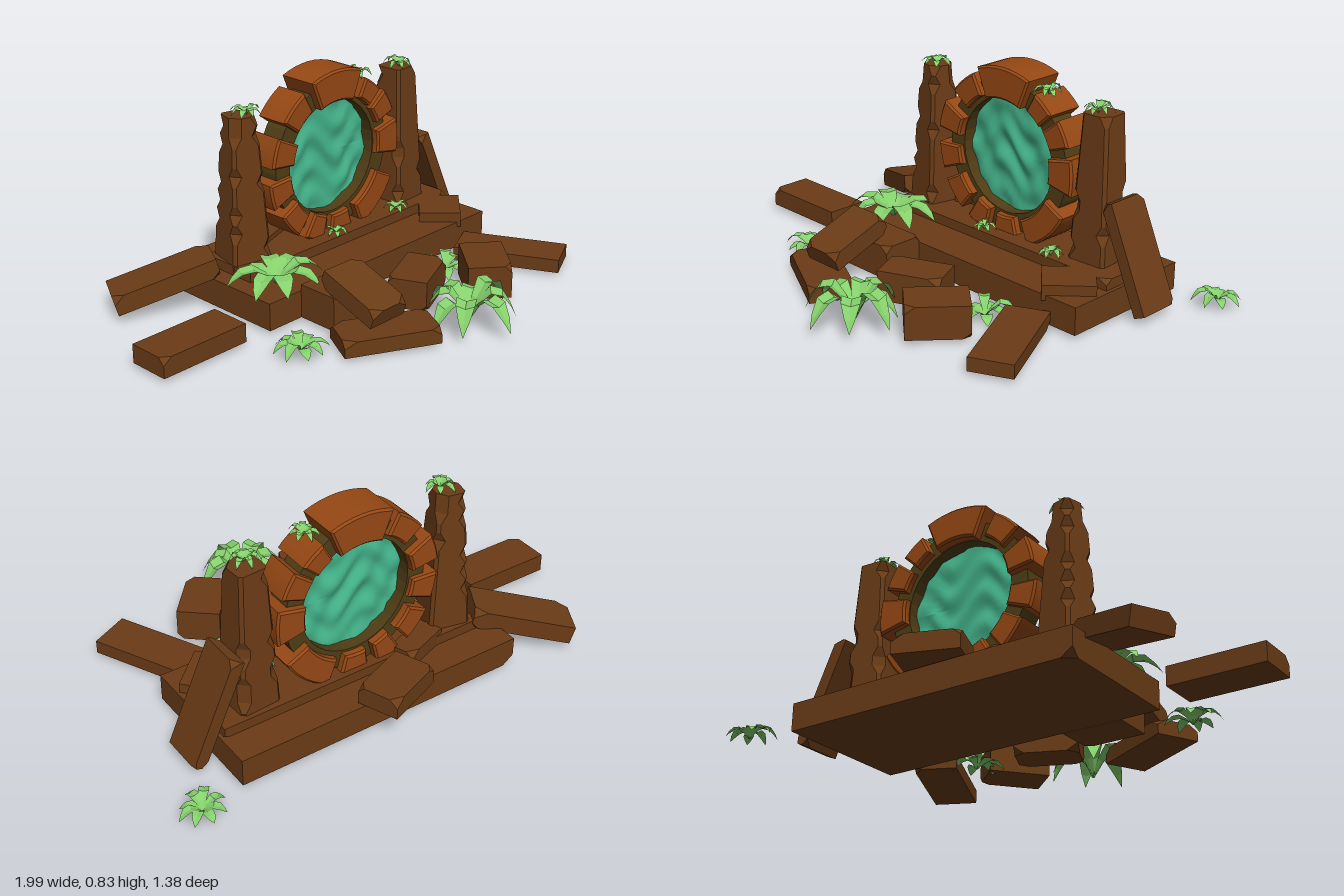
import * as THREE from 'three';
import { ConvexGeometry } from 'three/addons/geometries/ConvexGeometry.js';

const flat = (color, extra = {}) => new THREE.MeshStandardMaterial({ color, flatShading: true, ...extra });
const brown = flat(0x6b3c17);
const orange = flat(0x964814);
const olive = flat(0x4f3d15);
const leafGreen = flat(0x85d06c, { side: THREE.DoubleSide });
const water = new THREE.MeshStandardMaterial({ color: 0x45b78d, side: THREE.DoubleSide });

let seed = 7;
const rand = () => (seed = (seed * 16807) % 2147483647) / 2147483647;

function add(parent, name, geometry, material, x = 0, y = 0, z = 0) {
  const mesh = new THREE.Mesh(geometry, material);
  mesh.name = name;
  mesh.position.set(x, y, z);
  parent.add(mesh);
  return mesh;
}

// Box with a few corners chipped off
function chippedBox(w, h, d, chips = 0.35, size = 0.035) {
  const points = [];
  for (const sx of [-1, 1]) for (const sy of [-1, 1]) for (const sz of [-1, 1]) {
    const corner = new THREE.Vector3(sx * w / 2, sy * h / 2, sz * d / 2);
    if (rand() > chips) { points.push(corner); continue; }
    const cut = size * (0.5 + rand() * 0.5);
    points.push(corner.clone().setX(corner.x - sx * cut * 1.4));
    points.push(corner.clone().setY(corner.y - sy * Math.min(cut, h * 0.4)));
    points.push(corner.clone().setZ(corner.z - sz * cut));
  }
  return new ConvexGeometry(points);
}

// Tapered square pillar whose chamfered edges are nicked at random heights
function pillarGeometry(height, bottom, top) {
  const rows = 16;
  const geo = new THREE.CylinderGeometry(1, 1, height, 8, rows, false, Math.PI / 8);
  const nicks = Array.from({ length: (rows + 1) * 4 }, () => (rand() < 0.25 ? 0.035 : 0.012));
  const p = geo.attributes.position;
  for (let i = 0; i < p.count; i++) {
    const x = p.getX(i), z = p.getZ(i);
    if (Math.hypot(x, z) < 0.5) continue;
    const t = p.getY(i) / height + 0.5;
    const w = THREE.MathUtils.lerp(bottom, top, t);
    const corner = (x > 0 ? 1 : 0) + (z > 0 ? 2 : 0);
    const inner = w - nicks[Math.round(t * rows) * 4 + corner];
    const xSmall = Math.abs(x) < Math.abs(z);
    p.setX(i, Math.sign(x) * (xSmall ? inner : w));
    p.setZ(i, Math.sign(z) * (xSmall ? w : inner));
  }
  return geo;
}

// Curved wedge of the ring, extruded along z and centred on it
function arcStone(degrees, halfWidth, rIn, rOut, depth) {
  const a = THREE.MathUtils.degToRad(degrees - halfWidth);
  const b = THREE.MathUtils.degToRad(degrees + halfWidth);
  const shape = new THREE.Shape();
  shape.absarc(0, 0, rOut, a, b, false);
  shape.absarc(0, 0, rIn, b, a, true);
  const bevel = 0.008;
  const geo = new THREE.ExtrudeGeometry(shape, {
    depth: depth - 2 * bevel, curveSegments: 4, bevelSegments: 1,
    bevelSize: bevel, bevelOffset: -bevel, bevelThickness: bevel,
  });
  return geo.translate(0, 0, bevel - depth / 2);
}

// Arching leaf along +x with a folded midrib, unit length
function leafGeometry() {
  const spine = [[0, 0, 0.03], [0.2, 0.28, 0.1], [0.45, 0.46, 0.17], [0.7, 0.42, 0.16], [0.88, 0.25, 0.09], [1, 0.08, 0.004]];
  const pos = [], index = [];
  spine.forEach(([x, y, w], i) => {
    pos.push(x, y + w * 0.3, -w, x, y, 0, x, y + w * 0.3, w);
    if (i === 0) return;
    for (const k of [0, 1]) {
      const a = (i - 1) * 3 + k, b = a + 3;
      index.push(a, a + 1, b, b, a + 1, b + 1);
    }
  });
  const geo = new THREE.BufferGeometry();
  geo.setAttribute('position', new THREE.Float32BufferAttribute(pos, 3));
  geo.setIndex(index);
  geo.computeVertexNormals();
  return geo;
}

export function createModel() {
  const model = new THREE.Group();
  model.name = 'ruinedPortal';

  // Stepped base
  add(model, 'baseSlab', chippedBox(1.22, 0.11, 0.57, 0.2), brown, 0.11, 0.075, -0.285);
  add(model, 'upperStep', chippedBox(1.13, 0.05, 0.25, 0.3), brown, 0.14, 0.145, -0.31);

  // Fallen blocks: [x, y, z, width, height, depth, yaw, tiltX, tiltZ]
  const blocks = [
    [-0.81, 0.06, -0.083, 0.38, 0.075, 0.17, 0, 0, 0],
    [-0.62, 0.125, -0.46, 0.41, 0.075, 0.17, -0.5, 0, 0.27],
    [0.07, 0.175, -0.58, 0.25, 0.075, 0.165, 0.37, 0, 0],
    [0.72, 0.23, -0.34, 0.05, 0.43, 0.175, 0, 0, 0.42],
    [0.62, 0.047, 0.23, 0.43, 0.055, 0.17, -1.12, 0, 0],
    [0.345, 0.087, 0.32, 0.24, 0.13, 0.17, 0.86, 0, 0],
    [0.095, 0.08, 0.19, 0.25, 0.12, 0.155, 0.42, 0, 0],
    [-0.215, 0.087, 0.085, 0.25, 0.135, 0.17, 0, 0, 0],
    [-0.25, 0.17, 0.235, 0.175, 0.07, 0.27, 0, 0.34, 0],
    [-0.26, 0.05, 0.355, 0.37, 0.06, 0.175, -0.48, 0, 0],
    [0.58, 0.14, -0.12, 0.2, 0.06, 0.17, 0.75, 0, 0],
    [-0.15, 0.15, -0.41, 0.2, 0.08, 0.1, 0.35, 0, 0],
  ];
  for (const [x, y, z, w, h, d, yaw, tiltX, tiltZ] of blocks) {
    const block = add(model, 'fallenBlock', chippedBox(w, h, d), brown, x, y, z);
    block.rotation.set(tiltX, yaw, tiltZ, 'YXZ');
  }

  // Two pillars
  add(model, 'rightPillar', pillarGeometry(0.6, 0.085, 0.053), brown, -0.33, 0.44, -0.33).rotation.y = -0.22;
  add(model, 'leftPillar', pillarGeometry(0.6, 0.085, 0.058), brown, 0.54, 0.44, -0.33).rotation.y = 0.06;

  // Portal ring: backing hoop, stones and rippling water
  const portal = new THREE.Group();
  portal.name = 'portal';
  portal.position.set(0.11, 0.47, -0.33);
  model.add(portal);
  const hoop = new THREE.Shape().absarc(0, 0, 0.305, 0, Math.PI * 2, false);
  hoop.holes.push(new THREE.Path().absarc(0, 0, 0.232, 0, Math.PI * 2, true));
  const hoopGeo = new THREE.ExtrudeGeometry(hoop, { depth: 0.1, bevelEnabled: false, curveSegments: 16 });
  add(portal, 'hoop', hoopGeo.translate(0, 0, -0.05), olive);

  // [angle, half width in degrees, inner radius, outer radius]
  const stones = [
    [90, 22, 0.235, 0.362], [131, 12, 0.25, 0.345], [163, 10, 0.235, 0.35], [193, 9, 0.24, 0.355],
    [220, 11, 0.25, 0.345], [247, 9, 0.235, 0.34], [274, 11, 0.24, 0.33], [313, 20, 0.25, 0.355],
    [1, 12, 0.235, 0.355], [29, 9, 0.25, 0.35], [52, 9, 0.25, 0.335],
  ];
  stones.forEach(([angle, half, rIn, rOut], i) => {
    add(portal, 'ringStone', arcStone(angle, half, rIn, rOut, i === 0 ? 0.178 : 0.145 + rand() * 0.03), orange);
  });

  const waterGeo = new THREE.RingGeometry(0, 0.242, 48, 20);
  const p = waterGeo.attributes.position;
  for (let i = 0; i < p.count; i++) {
    const x = p.getX(i), y = p.getY(i);
    p.setZ(i, 0.006 * Math.sin(50 * y + 3 * Math.sin(22 * x)) + 0.004 * Math.sin(45 * x + 30 * y));
  }
  waterGeo.computeVertexNormals();
  add(portal, 'waterSurface', waterGeo, water);

  // Ferns: [x, y, z, radius, height scale, leaf count]
  const ferns = [
    [-0.36, 0.13, -0.11, 0.19, 0.85, 8], [-0.53, 0.02, 0.19, 0.115, 0.8, 8],
    [0.07, 0.02, 0.47, 0.2, 1.15, 8], [0.37, 0.005, 0.1, 0.12, 0.8, 8],
    [0.9, 0.02, -0.6, 0.1, 0.85, 8], [-0.31, 0.74, -0.31, 0.07, 1, 7],
    [0.53, 0.74, -0.31, 0.065, 1, 7], [0.29, 0.755, -0.31, 0.065, 1, 7],
    [0.06, 0.17, -0.21, 0.055, 1, 7], [0.41, 0.17, -0.21, 0.06, 1.2, 7],
  ];
  const leaf = leafGeometry();
  for (const [x, y, z, radius, rise, count] of ferns) {
    const fern = new THREE.Group();
    fern.name = 'fern';
    fern.position.set(x, y, z);
    const turn = rand() * 6;
    for (let i = 0; i < count; i++) {
      const blade = add(fern, 'leaf', leaf, leafGreen);
      const length = radius * (0.75 + rand() * 0.3);
      blade.scale.set(length, length * rise * (0.8 + rand() * 0.5), radius * 1.1);
      blade.rotation.y = turn + (i + rand() * 0.3) / count * Math.PI * 2;
    }
    model.add(fern);
  }
  return model;
}
